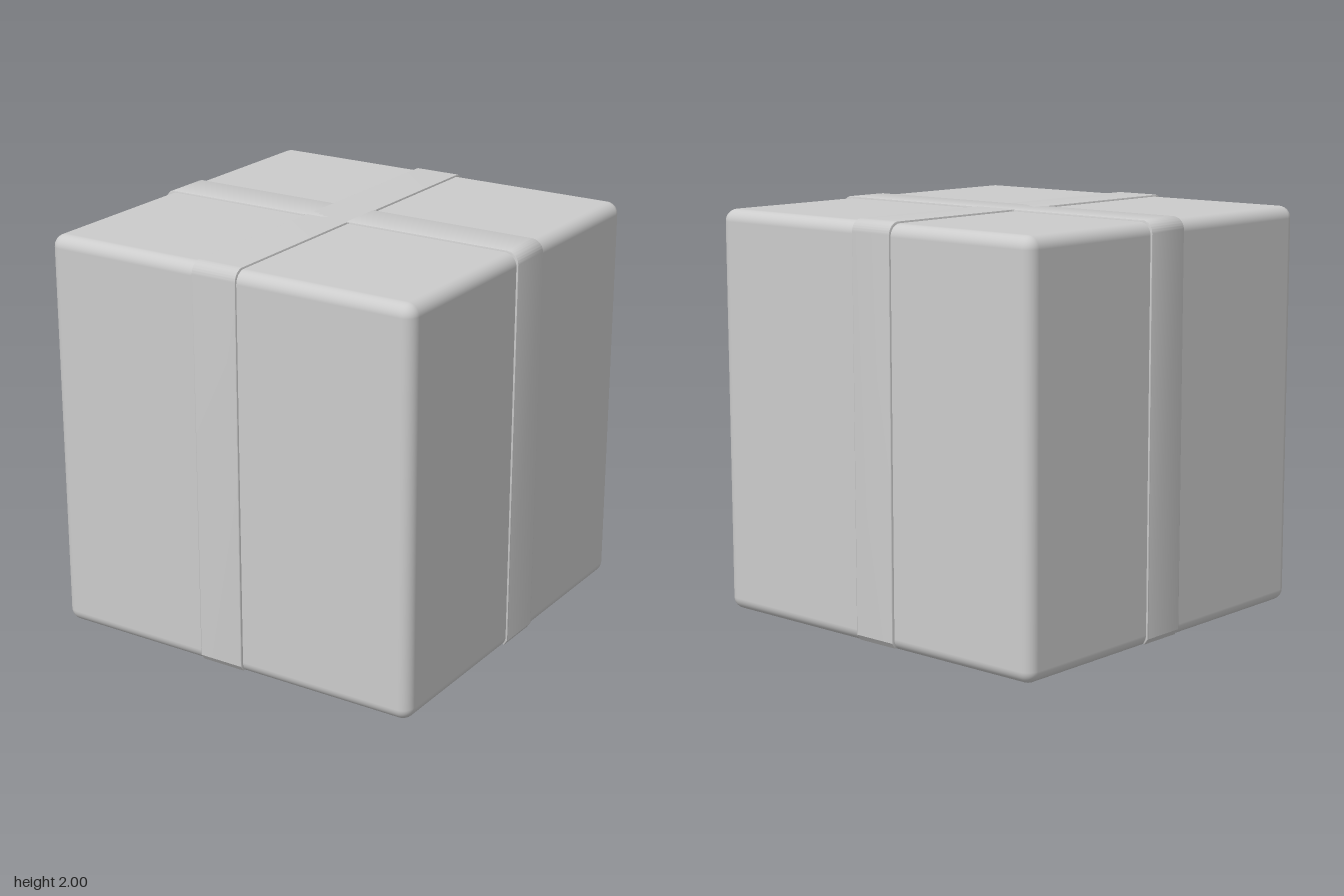
import * as THREE from 'three';
import { toCreasedNormals } from 'three/addons/utils/BufferGeometryUtils.js';
import { RoundedBoxGeometry } from 'three/addons/geometries/RoundedBoxGeometry.js';

const HALF = 0.99;      // half width of the box
const TOP = 1.99;       // top of the box
const RIBBON = 0.24;    // ribbon width
const OFFSET = -0.04;   // the ribbons cross a little off centre
const RADIUS = 0.06;
const LIFT = 0.01;      // how far the ribbon stands out

const material = new THREE.MeshStandardMaterial({ color: 0xcccccc });

function addMesh(parent, geometry, name) {
  const mesh = new THREE.Mesh(geometry, material);
  mesh.name = name;
  parent.add(mesh);
  return mesh;
}

// Upside-down U that runs up one side, over the top and down the other
function ribbonGeometry() {
  const o = HALF + LIFT, t = TOP + LIFT, r = RADIUS, i = HALF - 0.05, it = TOP - 0.05;
  const shape = new THREE.Shape();
  shape.moveTo(i, 0.03);
  shape.lineTo(o - 0.02, 0.012);
  shape.lineTo(o, 0.04);
  shape.lineTo(o, t - r);
  shape.absarc(o - r, t - r, r, 0, Math.PI / 2, false);
  shape.lineTo(-o + r, t);
  shape.absarc(-o + r, t - r, r, Math.PI / 2, Math.PI, false);
  shape.lineTo(-o, 0.04);
  shape.lineTo(-o + 0.02, 0.012);
  shape.lineTo(-i, 0.03);
  shape.lineTo(-i, it);
  shape.lineTo(i, it);
  shape.closePath();

  const bevel = 0.006;
  const geometry = new THREE.ExtrudeGeometry(shape, {
    depth: RIBBON - 2 * bevel, curveSegments: 8,
    bevelThickness: bevel, bevelSize: bevel, bevelOffset: -bevel, bevelSegments: 2,
  });
  geometry.translate(0, 0, -RIBBON / 2 + bevel);
  return toCreasedNormals(geometry, 0.6);
}

// Small concave corner that rounds the inside of the crossing
function filletGeometry() {
  const r = 0.03, c = RIBBON / 2 - 0.006;
  const shape = new THREE.Shape();
  shape.moveTo(c, c);
  shape.lineTo(c + r, c);
  shape.absarc(c + r, c + r, r, -Math.PI / 2, -Math.PI, true);
  shape.closePath();
  const geometry = new THREE.ExtrudeGeometry(shape, {
    depth: 0.03, curveSegments: 6, bevelEnabled: false,
  });
  geometry.rotateX(-Math.PI / 2);
  return toCreasedNormals(geometry, 0.6);
}

export function createModel() {
  const model = new THREE.Group();
  model.name = 'giftBox';

  // Box
  const box = addMesh(model, new RoundedBoxGeometry(2 * HALF, TOP, 2 * HALF, 5, RADIUS), 'box');
  box.position.y = TOP / 2;

  // Two ribbons, over the top from side to side and from front to back
  const strip = ribbonGeometry();
  addMesh(model, strip, 'sideToSideRibbon').position.z = OFFSET;
  const second = addMesh(model, strip, 'frontToBackRibbon');
  second.rotation.y = Math.PI / 2;
  second.position.x = OFFSET;

  // Rounded corners of the crossing
  const fillet = filletGeometry();
  for (let k = 0; k < 4; k++) {
    const corner = addMesh(model, fillet, 'crossingCorner' + (k + 1));
    corner.position.set(OFFSET, TOP + LIFT - 0.032, OFFSET);
    corner.rotation.y = k * Math.PI / 2;
  }
  return model;
}
